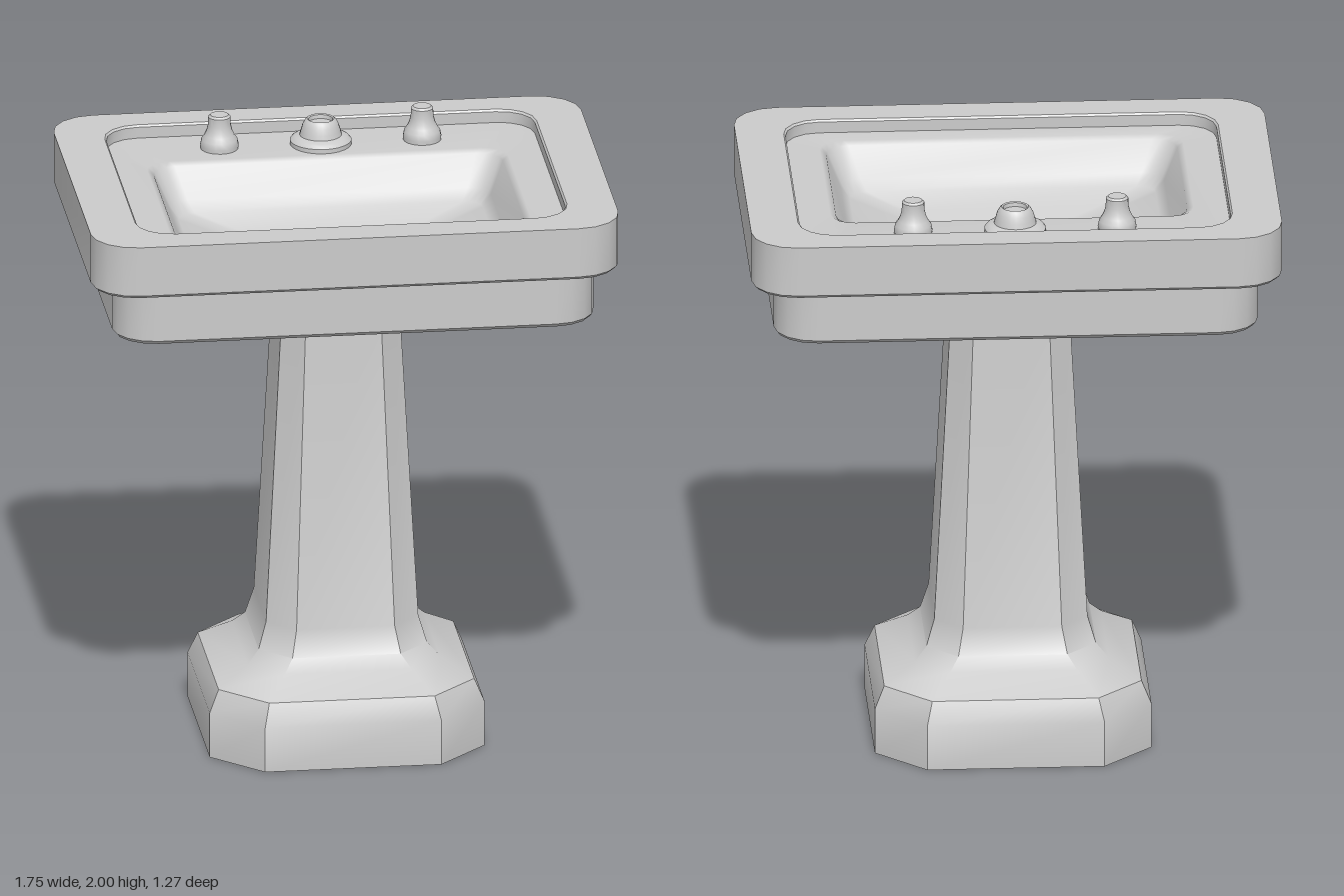
import * as THREE from 'three';
import { toCreasedNormals } from 'three/addons/utils/BufferGeometryUtils.js';

const material = new THREE.MeshStandardMaterial({ color: 0xcccccc });
const openMaterial = new THREE.MeshStandardMaterial({ color: 0xcccccc, side: THREE.DoubleSide });

// Horizontal rounded rectangle: n segments per corner
function ring(y, hx, hz, r, n, cz = 0) {
  const pts = [];
  for (let q = 0; q < 4; q++) {
    const sx = q === 0 || q === 3 ? 1 : -1;
    const sz = q < 2 ? 1 : -1;
    for (let i = 0; i <= n; i++) {
      const a = (q + i / n) * Math.PI / 2;
      pts.push([sx * (hx - r) + r * Math.cos(a), y, cz + sz * (hz - r) + r * Math.sin(a)]);
    }
  }
  return pts;
}

// Skin a sequence of rings; outside when rising, inside when falling
function loft(rings, crease) {
  const m = rings[0].length;
  const index = [];
  for (let i = 0; i < rings.length - 1; i++) {
    for (let j = 0; j < m; j++) {
      const k = (j + 1) % m;
      const a = i * m + j, b = i * m + k, c = a + m, d = b + m;
      index.push(a, c, b, b, c, d);
    }
  }
  const g = new THREE.BufferGeometry();
  g.setAttribute('position', new THREE.Float32BufferAttribute(rings.flat(2), 3));
  g.setIndex(index);
  if (crease) return toCreasedNormals(g, crease);
  g.computeVertexNormals();
  return g;
}

function turned(profile, segments) {
  const pts = profile.map(([r, y]) => new THREE.Vector2(r, y));
  return toCreasedNormals(new THREE.LatheGeometry(pts, segments), 0.6);
}

export function createModel() {
  const group = new THREE.Group();
  const add = (name, geometry, mat = material, x = 0, y = 0, z = 0) => {
    const mesh = new THREE.Mesh(geometry, mat);
    mesh.name = name;
    mesh.position.set(x, y, z);
    group.add(mesh);
    return mesh;
  };

  // Hollow pedestal: chamfered square sections [y, half width, half flat]
  const sections = [
    [0, 0.457, 0.293], [0.155, 0.457, 0.293], [0.23, 0.425, 0.275],
    [0.29, 0.32, 0.21], [0.33, 0.28, 0.18], [0.42, 0.253, 0.163], [1.57, 0.192, 0.122],
  ];
  add('pedestal', loft(sections.map(([y, h, f]) => ring(y, h, h, h - f, 1)), 0.6), openMaterial);

  // Outer shell: underside, tub, overhanging slab, rim and the step down to the deck
  const n = 4;
  const deckY = 1.885;
  add('basinShell', loft([
    ring(1.565, 0.01, 0.01, 0.005, n),
    ring(1.565, 0.79, 0.57, 0.13, n),
    ring(1.577, 0.8, 0.58, 0.14, n),
    ring(1.75, 0.8, 0.58, 0.14, n),
    ring(1.75, 0.867, 0.627, 0.14, n),
    ring(1.76, 0.877, 0.637, 0.15, n),
    ring(1.93, 0.877, 0.637, 0.15, n),
    ring(1.93, 0.718, 0.523, 0.123, n, -0.004),
    ring(1.923, 0.712, 0.517, 0.117, n, -0.004),
    ring(deckY, 0.712, 0.517, 0.117, n, -0.004),
  ], 0.6));

  // Deck and bowl, running softly down to the drain
  const drainY = 1.625, drainZ = 0.07;
  const bowl = [
    ring(deckY, 0.712, 0.517, 0.117, n, -0.004),
    ring(deckY - 0.003, 0.6, 0.372, 0.08, n, 0.075),
    ring(deckY - 0.015, 0.58, 0.355, 0.08, n, 0.075),
    ring(1.77, 0.535, 0.305, 0.07, n, 0.08),
    ring(1.735, 0.505, 0.275, 0.06, n, 0.08),
  ];
  for (const t of [0.3, 0.6, 0.85, 1]) {
    const mix = (a, b) => a + (b - a) * t;
    bowl.push(ring(mix(1.725, drainY), mix(0.49, 0.04), mix(0.26, 0.04), mix(0.055, 0.04), n, mix(0.08, drainZ)));
  }
  add('bowl', loft(bowl));

  // Drain
  const drain = new THREE.CircleGeometry(0.041, 20).rotateX(-Math.PI / 2);
  add('drain', drain, material, 0, drainY, drainZ);

  // Spout fitting with stepped collars and a recessed mouth
  const spout = turned([
    [0.102, -0.01], [0.102, 0.012], [0.095, 0.02], [0.085, 0.025], [0.07, 0.03],
    [0.066, 0.045], [0.06, 0.065], [0.052, 0.08], [0.045, 0.086], [0.04, 0.083],
    [0.038, 0.07], [0, 0.07],
  ], 24);
  add('spout', spout, material, 0, deckY, -0.405);

  // Pair of tap handles
  const tap = turned([
    [0.062, -0.01], [0.064, 0.01], [0.06, 0.03], [0.05, 0.045], [0.043, 0.06],
    [0.038, 0.08], [0.037, 0.1], [0.037, 0.108], [0.03, 0.115], [0, 0.115],
  ], 20);
  for (const side of [-1, 1]) {
    add(side > 0 ? 'leftTap' : 'rightTap', tap, material, side * 0.337, deckY, -0.403);
  }

  return group;
}
